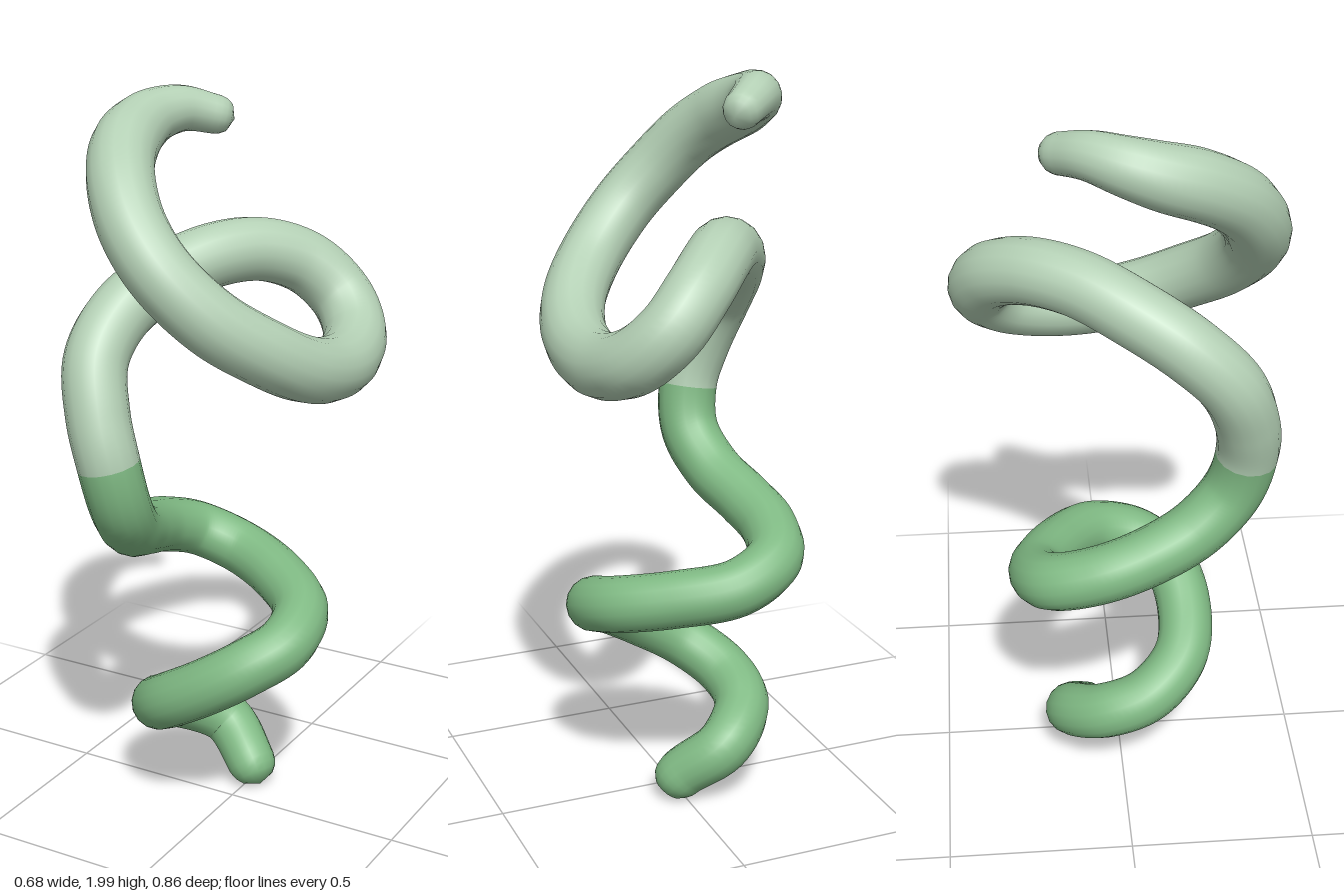
import * as THREE from 'three';
import { mergeVertices } from 'three/addons/utils/BufferGeometryUtils.js';

const SEGMENTS = 320, SIDES = 16, COLOUR_CHANGE_Y = 1.08;

// Centre line of the tendril, from the foot to the curled tip
const PATH = [
  [0.05, 0.02, -0.075], [0.005, 0.08, -0.095], [-0.1, 0.165, -0.14], [-0.195, 0.235, -0.05],
  [-0.195, 0.285, 0.07], [-0.11, 0.355, 0.17], [0.02, 0.435, 0.19], [0.13, 0.505, 0.155],
  [0.2, 0.555, 0.07], [0.18, 0.6, -0.06], [0.06, 0.635, -0.165], [-0.1, 0.67, -0.23],
  [-0.22, 0.72, -0.19], [-0.26, 0.765, -0.07], [-0.245, 0.805, 0.06], [-0.205, 0.86, 0.19],
  [-0.175, 0.955, 0.285], [-0.185, 1.08, 0.32], [-0.22, 1.2, 0.31], [-0.255, 1.33, 0.26],
  [-0.245, 1.43, 0.16], [-0.19, 1.505, 0.03], [-0.11, 1.55, -0.1], [-0.03, 1.55, -0.22],
  [0.06, 1.5, -0.315], [0.145, 1.415, -0.347], [0.212, 1.34, -0.295], [0.25, 1.3, -0.18],
  [0.257, 1.3, -0.05], [0.243, 1.335, 0.08], [0.2, 1.395, 0.19], [0.11, 1.485, 0.295],
  [0, 1.6, 0.345], [-0.09, 1.7, 0.328], [-0.16, 1.79, 0.27], [-0.213, 1.855, 0.18],
  [-0.238, 1.895, 0.08], [-0.233, 1.92, 0], [-0.195, 1.932, -0.08], [-0.14, 1.915, -0.14],
  [-0.095, 1.898, -0.18],
].map((p) => new THREE.Vector3(...p));

// Thickness: even along the stem, thinner at foot and tip, rounded at both ends
function radiusAt(fromStart, fromEnd) {
  const { smoothstep, lerp } = THREE.MathUtils;
  let r = 0.068 + 0.009 * smoothstep(fromStart, 0, 0.3) + 0.009 * smoothstep(fromStart, 1.5, 3);
  r *= lerp(0.58, 1, smoothstep(fromEnd, 0, 0.42));
  const k = Math.min(1, Math.min(fromStart, fromEnd) / r);
  return r * Math.sqrt(Math.max(0, 1 - (1 - k) * (1 - k)));
}

export function createModel() {
  const group = new THREE.Group();
  group.name = 'spiralTendril';

  const darkGreen = new THREE.MeshStandardMaterial({ color: 0x80ba84 });
  darkGreen.name = 'leaf green';
  const paleGreen = new THREE.MeshStandardMaterial({ color: 0xb4d0b5 });
  paleGreen.name = 'pale sage';

  const curve = new THREE.CatmullRomCurve3(PATH, false, 'centripetal');
  curve.arcLengthDivisions = 1000;
  const length = curve.getLength();

  // Sweep a unit tube, then scale each ring to its own radius
  let tube = new THREE.TubeGeometry(curve, SEGMENTS, 1, SIDES, false);
  const pos = tube.attributes.position;
  const v = new THREE.Vector3();
  let split = 0;
  for (let i = 0; i <= SEGMENTS; i++) {
    const t = i / SEGMENTS;
    const centre = curve.getPointAt(t);
    const r = radiusAt(t * length, (1 - t) * length);
    if (centre.y < COLOUR_CHANGE_Y) split = i;
    for (let j = 0; j <= SIDES; j++) {
      const n = i * (SIDES + 1) + j;
      v.fromBufferAttribute(pos, n).sub(centre).multiplyScalar(r).add(centre);
      pos.setXYZ(n, v.x, v.y, v.z);
    }
  }
  tube.deleteAttribute('uv');
  tube.deleteAttribute('normal');
  tube = mergeVertices(tube, 1e-5);
  tube.computeVertexNormals();

  // Split the sweep into the two coloured lengths
  const index = Array.from(tube.index.array);
  const cut = split * SIDES * 6;
  const addPart = (name, faces, material) => {
    const geometry = tube.clone();
    geometry.setIndex(faces);
    const mesh = new THREE.Mesh(geometry, material);
    mesh.name = name;
    group.add(mesh);
  };
  addPart('lowerTendril', index.slice(0, cut), darkGreen);
  addPart('upperTendril', index.slice(cut), paleGreen);
  return group;
}
